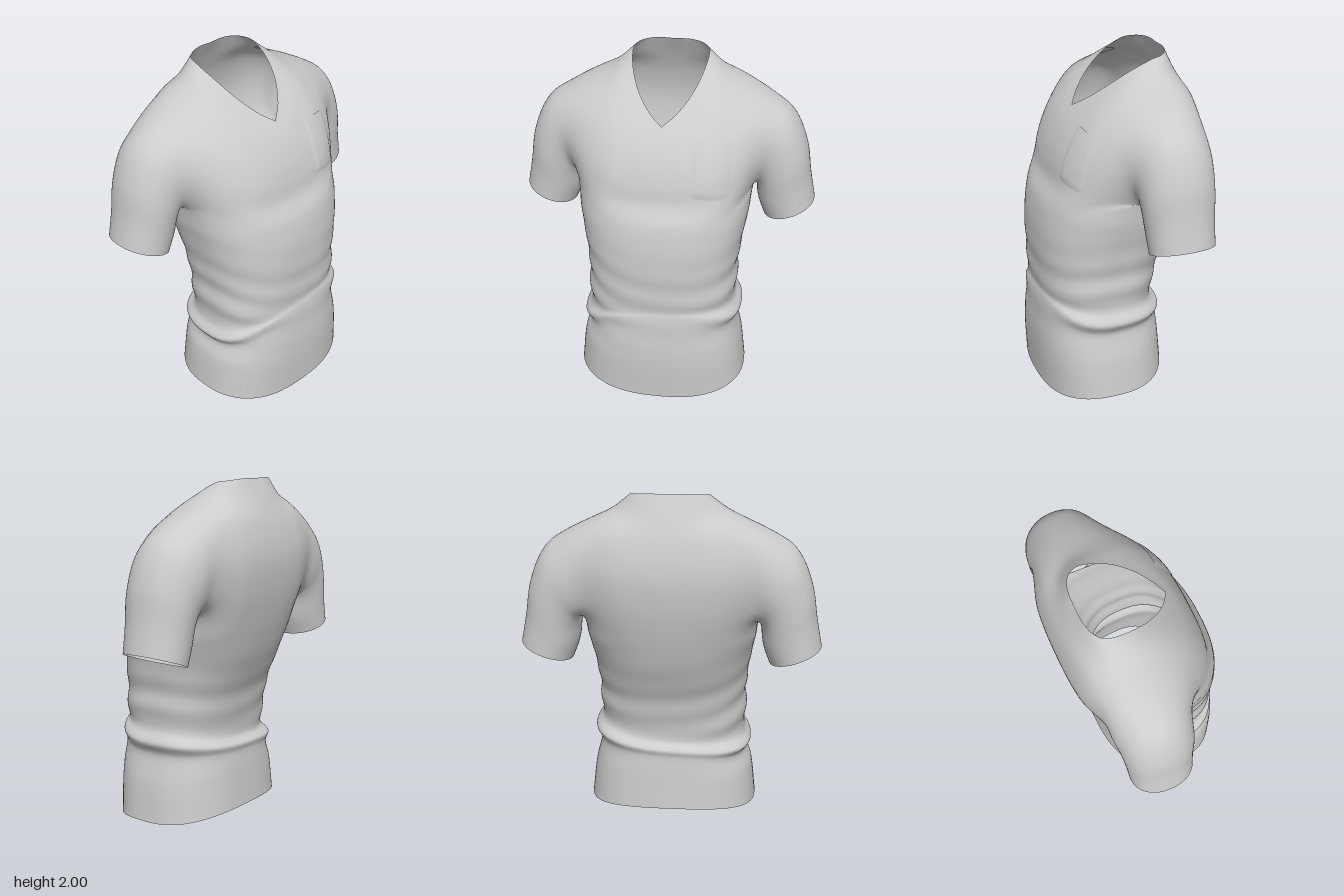
import * as THREE from 'three';
import { mergeGeometries, mergeVertices } from 'three/addons/utils/BufferGeometryUtils.js';

const COLS = 96, ROWS = 130;
const V = (x, y, z) => new THREE.Vector3(x, y, z);
const spow = (v, p) => Math.sign(v) * Math.abs(v) ** p;
const material = new THREE.MeshStandardMaterial({ color: 0xcccccc, side: THREE.DoubleSide });

// Surface through a stack of rings, smooth along every column; keep() can cut openings.
function loft(rings, rows, closed, adjust, keep) {
  const cols = rings[0].length, pos = [], index = [];
  const curves = rings[0].map((_, c) => new THREE.CatmullRomCurve3(rings.map(r => r[c])));
  for (let r = 0; r <= rows; r++) {
    curves.forEach((curve, c) => {
      const p = curve.getPoint(r / rows);
      if (adjust) adjust(p, c / cols * Math.PI * 2);
      pos.push(p.x, p.y, p.z);
    });
  }
  for (let r = 0; r < rows; r++) {
    for (let c = 0; c < (closed ? cols : cols - 1); c++) {
      const d = (c + 1) % cols;
      const a = r * cols + c, b = r * cols + d, e = a + cols, f = b + cols;
      if (!keep || keep(r, c)) index.push(a, e, b, b, e, f);
    }
  }
  const g = new THREE.BufferGeometry();
  g.setAttribute('position', new THREE.Float32BufferAttribute(pos, 3));
  g.setIndex(index);
  return g;
}

// V-shaped neckline: half a curve from front to back, mirrored.
function neckRing() {
  const half = new THREE.CatmullRomCurve3([
    V(0, 1.70, 0.19), V(0.075, 1.755, 0.135), V(0.15, 1.84, 0.04), V(0.197, 1.925, -0.08),
    V(0.212, 1.98, -0.2), V(0.2, 1.988, -0.25), V(0.16, 1.995, -0.29), V(0.09, 2, -0.312), V(0, 1.997, -0.315)]);
  return Array.from({ length: COLS }, (_, i) => {
    const t = i / COLS * 2;
    const p = half.getPoint(t <= 1 ? t : 2 - t);
    if (t > 1) p.x *= -1;
    return p;
  });
}

// Body ring: heights at front, side and back, half width, z of front, middle and back,
// roundness of front and back, and how much higher the left side sits than the right.
function bodyRing([yf, ys, yb, w, zf, zc, zb, p, pb, skew = 0]) {
  return Array.from({ length: COLS }, (_, i) => {
    const a = i / COLS * Math.PI * 2, s = Math.sin(a), c = Math.cos(a);
    const y = ys + ((c > 0 ? yf : yb) - ys) * c * c + skew * s;
    return V(w * spow(s, p), y, zc + (c > 0 ? (zf - zc) * spow(c, p) : (zc - zb) * spow(c, pb)));
  });
}

const BODY = [
  [1.62, 1.895, 1.88, 0.32, 0.25, -0.18, -0.375, 1, 0.85],
  [1.50, 1.82, 1.74, 0.47, 0.31, -0.17, -0.43, 0.9, 0.6],
  [1.40, 1.62, 1.58, 0.53, 0.34, -0.12, -0.46, 0.78, 0.45],
  [1.30, 1.40, 1.40, 0.525, 0.36, -0.05, -0.45, 0.75, 0.5],
  [1.19, 1.20, 1.20, 0.495, 0.415, 0, -0.41, 0.8, 0.65],
  [1.00, 1.00, 1.00, 0.46, 0.445, 0.05, -0.35, 0.8, 0.8],
  [0.80, 0.80, 0.80, 0.435, 0.443, 0.08, -0.27, 0.8, 0.8],
  [0.68, 0.63, 0.62, 0.435, 0.438, 0.1, -0.232, 0.8, 0.8, 0.02],
  [0.62, 0.54, 0.515, 0.43, 0.437, 0.1, -0.225, 0.8, 0.8, 0.04],
  [0.59, 0.475, 0.475, 0.47, 0.444, 0.1, -0.27, 0.8, 0.8, 0.04],
  [0.52, 0.41, 0.43, 0.44, 0.45, 0.1, -0.264, 0.8, 0.8, 0.03],
  [0.28, 0.28, 0.30, 0.475, 0.463, 0.1, -0.275, 0.8, 0.8],
  [0.00, 0.055, 0.11, 0.503, 0.452, 0.1, -0.29, 0.8, 0.8]
];

// Armhole: a block of body cells around each side column, from row TOP to row LOW.
const TOP = 18, LOW = 45, SIDE = COLS / 4, HALF = 9;
const inArmhole = (r, c) => r >= TOP && r < LOW &&
  [SIDE, COLS - SIDE].some(m => c >= m - HALF && c < m + HALF);

// Vertices round the left armhole, each with its angle: top, back, underarm, front.
function armholeLoop() {
  const loop = [], q = Math.PI / 4, tall = LOW - TOP;
  for (let i = 0; i < HALF; i++) loop.push([TOP, SIDE + i, q * i / HALF]);
  for (let i = 0; i < tall; i++) loop.push([TOP + i, SIDE + HALF, q * (1 + 2 * i / tall)]);
  for (let i = 0; i < 2 * HALF; i++) loop.push([LOW, SIDE + HALF - i, q * (3 + i / HALF)]);
  for (let i = 0; i < tall; i++) loop.push([LOW - i, SIDE - HALF, q * (5 + 2 * i / tall)]);
  for (let i = 0; i < HALF; i++) loop.push([TOP, SIDE - HALF + i, q * (7 + i / HALF)]);
  return loop;
}

// Sleeve ring: top x, y, bottom x, y, then z of back and front.
const SLEEVE = [
  [0.62, 1.748, 0.505, 1.235, -0.385, 0.075],
  [0.72, 1.64, 0.51, 1.205, -0.37, 0.055],
  [0.79, 1.47, 0.515, 1.165, -0.36, 0.045],
  [0.822, 1.28, 0.53, 1.10, -0.35, 0.03],
  [0.852, 1.125, 0.56, 1.02, -0.345, 0.02]
];

// Sleeve grown from the armhole edge of the body.
function sleeve(body, side) {
  const pos = body.getAttribute('position');
  const loop = side > 0 ? armholeLoop() : armholeLoop().reverse();
  const edge = loop.map(([r, c]) =>
    V().fromBufferAttribute(pos, r * COLS + (side > 0 ? c : COLS - c)));
  const rings = SLEEVE.map(([tx, ty, bx, by, zb, zf]) => loop.map(([, , a]) => {
    const k = (1 + Math.cos(a)) / 2;
    return V(side * (bx + (tx - bx) * k), by + (ty - by) * k,
      (zb + zf) / 2 - (zf - zb) / 2 * spow(Math.sin(a), 0.92));
  }));
  return loft([edge, ...rings], 40, true);
}

// Relax the cloth around the shoulder joins so body and sleeve flow together.
function relaxShoulders(g, times) {
  const pos = g.getAttribute('position'), idx = g.index.array;
  const near = Array.from({ length: pos.count }, () => new Set());
  for (let i = 0; i < idx.length; i += 3) {
    for (let k = 0; k < 3; k++) {
      near[idx[i + k]].add(idx[i + (k + 1) % 3]).add(idx[i + (k + 2) % 3]);
    }
  }
  const step = THREE.MathUtils.smoothstep;
  for (let n = 0; n < times; n++) {
    const next = near.map((set, i) => {
      const p = V().fromBufferAttribute(pos, i), mean = V();
      const x = Math.abs(p.x);
      const weight = step(x, 0.26, 0.4) * (1 - step(x, 0.58, 0.7)) * step(p.y, 1.14, 1.26);
      set.forEach(j => mean.add(V().fromBufferAttribute(pos, j)));
      return p.lerp(mean.divideScalar(set.size), weight * 0.6);
    });
    next.forEach((p, i) => pos.setXYZ(i, p.x, p.y, p.z));
  }
}

// Soft horizontal creases around the waist, fainter in front.
function crease(p, a) {
  const zone = Math.exp(-(((p.y - 0.7) / 0.25) ** 2));
  const d = 0.006 * zone * Math.sin(p.y * 36 + 2 * Math.sin(a) + 1.5 * Math.cos(2 * a));
  p.x += d * Math.sin(a);
  p.z += d * 0.5 * Math.cos(a);
}

export function createModel() {
  const shirt = new THREE.Group();
  shirt.name = 'shirt';
  const add = (name, geometry) => {
    geometry.computeVertexNormals();
    const mesh = new THREE.Mesh(geometry, material);
    mesh.name = name;
    shirt.add(mesh);
    return mesh;
  };

  // Body and both sleeves, welded into one cloth.
  const body = loft([neckRing(), ...BODY.map(bodyRing)], ROWS, true, crease, (r, c) => !inArmhole(r, c));
  const cloth = mergeVertices(mergeGeometries([body, sleeve(body, 1), sleeve(body, -1)]), 1e-4);
  relaxShoulders(cloth, 25);
  const bodyMesh = add('bodyAndSleeves', cloth);

  // Chest pocket: a thin patch laid just over the cloth, open along the top edge.
  const ray = new THREE.Raycaster();
  const rows = [];
  for (let j = 0; j <= 10; j++) {
    rows.push(Array.from({ length: 11 }, (_, i) => {
      const u = i / 10, v = j / 10;
      const x = 0.185 + 0.195 * u, y = 1.655 - 0.025 * u - 0.3 * v;
      ray.set(V(x, y, 2), V(0, 0, -1));
      const hit = ray.intersectObject(bodyMesh)[0];
      const rim = i === 0 || i === 10 || j === 10;
      return V(x, y, hit.point.z + (rim ? 0 : 0.006));
    }));
  }
  add('pocket', loft(rows, 20, false));
  return shirt;
}
